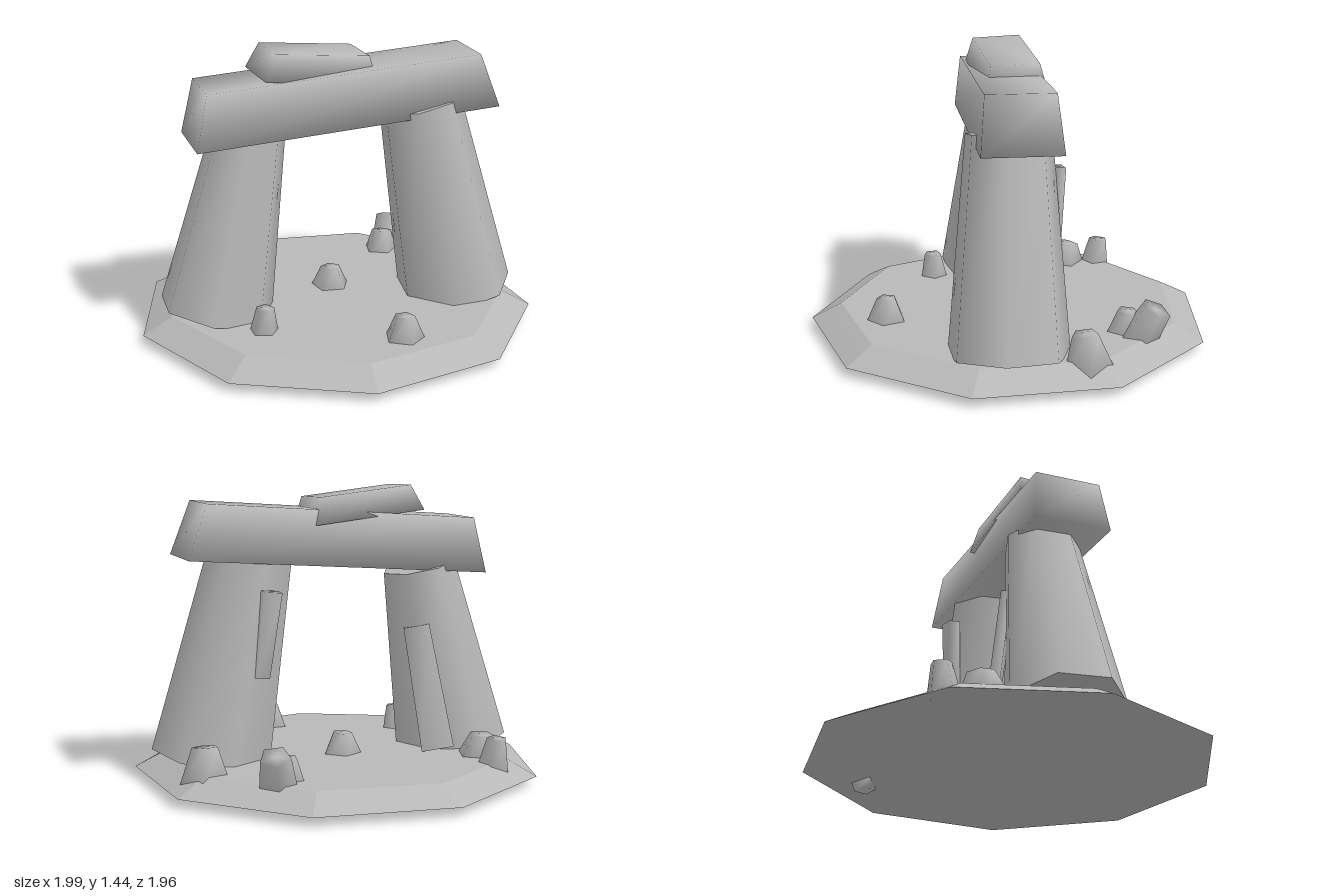
import * as THREE from 'three';
import { mergeVertices } from 'three/addons/utils/BufferGeometryUtils.js';

const stone = new THREE.MeshStandardMaterial({ color: 0xb8b8b8 });
stone.name = 'grey stone';

// Share every corner so the shading rolls softly over the edges
function soften(geometry) {
  geometry.deleteAttribute('normal');
  geometry.deleteAttribute('uv');
  const merged = mergeVertices(geometry, 1e-4);
  merged.computeVertexNormals();
  return merged;
}

export function createModel() {
  const model = new THREE.Group();
  const up = new THREE.Vector3(0, 1, 0);

  function add(name, geometry) {
    const mesh = new THREE.Mesh(geometry, stone);
    mesh.name = name;
    model.add(mesh);
    return mesh;
  }

  // Tapered column leaning from point a to point b
  function column(name, a, b, rBottom, rTop, sides, spin, soft = false) {
    const from = new THREE.Vector3(...a), to = new THREE.Vector3(...b);
    const axis = to.clone().sub(from);
    let geometry = new THREE.CylinderGeometry(rTop, rBottom, axis.length(), sides);
    geometry.rotateY(THREE.MathUtils.degToRad(spin));
    if (soft) geometry = soften(geometry);
    const mesh = add(name, geometry);
    mesh.position.copy(from).add(to).multiplyScalar(0.5);
    mesh.quaternion.setFromUnitVectors(up, axis.normalize());
    return mesh;
  }

  // Box whose top face is smaller than its bottom face
  function block(name, size, topScale, position, rotation) {
    const geometry = new THREE.BoxGeometry(...size);
    const p = geometry.attributes.position;
    for (let i = 0; i < p.count; i++) {
      if (p.getY(i) > 0) p.setXYZ(i, p.getX(i) * topScale[0], p.getY(i), p.getZ(i) * topScale[1]);
    }
    const mesh = add(name, soften(geometry));
    mesh.position.set(...position);
    mesh.rotation.set(...rotation);
    return mesh;
  }

  // Nine-sided ground slab with sloping rim
  const profile = [[0, 0.04], [1.01, 0.04], [0.93, 0.083], [0.86, 0.12], [0, 0.12]];
  const slab = new THREE.LatheGeometry(profile.map(([x, y]) => new THREE.Vector2(x, y)), 9).toNonIndexed();
  slab.computeVertexNormals();
  add('groundSlab', slab).position.z = -0.03;

  // Standing stones
  column('rightStandingStone', [-0.62, 0.11, 0.05], [-0.43, 1.03, 0], 0.29, 0.185, 7, -10);
  column('leftStandingStone', [0.635, 0.1, -0.02], [0.43, 1.12, -0.02], 0.3, 0.21, 7, 88);

  // Lintel and the smaller stone resting on it
  block('lintel', [1.53, 0.27, 0.38], [0.9, 0.86], [0.02, 1.185, -0.005], [0, 0.1, 0.07]);
  block('capStone', [0.58, 0.13, 0.3], [0.84, 0.8], [-0.11, 1.345, -0.01], [0.03, 0.19, -0.11]);

  // Thin slivers split off the backs of the standing stones
  block('leftSliver', [0.07, 0.42, 0.06], [1.3, 1], [0.4, 0.74, -0.24], [-0.08, 0.2, 0.12]);
  block('rightSliver', [0.16, 0.62, 0.05], [0.8, 1], [-0.42, 0.44, -0.2], [0.1, -0.3, -0.15]);

  // Scattered rocks: base point, top point, base radius, top radius, spin
  const rocks = [
    [[0.22, 0.07, 0.58], [0.22, 0.23, 0.58], 0.12, 0.05, 10],
    [[-0.43, 0.05, 0.37], [-0.42, 0.24, 0.38], 0.085, 0.045, 25],
    [[-0.65, 0.07, -0.33], [-0.66, 0.22, -0.35], 0.135, 0.065, 40],
    [[-0.66, 0.05, -0.51], [-0.67, 0.24, -0.53], 0.09, 0.05, 0],
    [[0.37, 0.05, -0.58], [0.38, 0.22, -0.6], 0.11, 0.055, 15],
    [[0.42, 0.04, -0.62], [0.46, 0.26, -0.73], 0.1, 0.075, 30],
    [[0.72, 0.07, -0.39], [0.72, 0.24, -0.37], 0.125, 0.065, 20],
    [[0, 0.06, -0.13], [0, 0.22, -0.13], 0.125, 0.05, 180],
  ];
  rocks.forEach(([a, b, r, rTop, spin], i) => column('rock' + (i + 1), a, b, r, rTop, 5, spin, true));

  return model;
}
